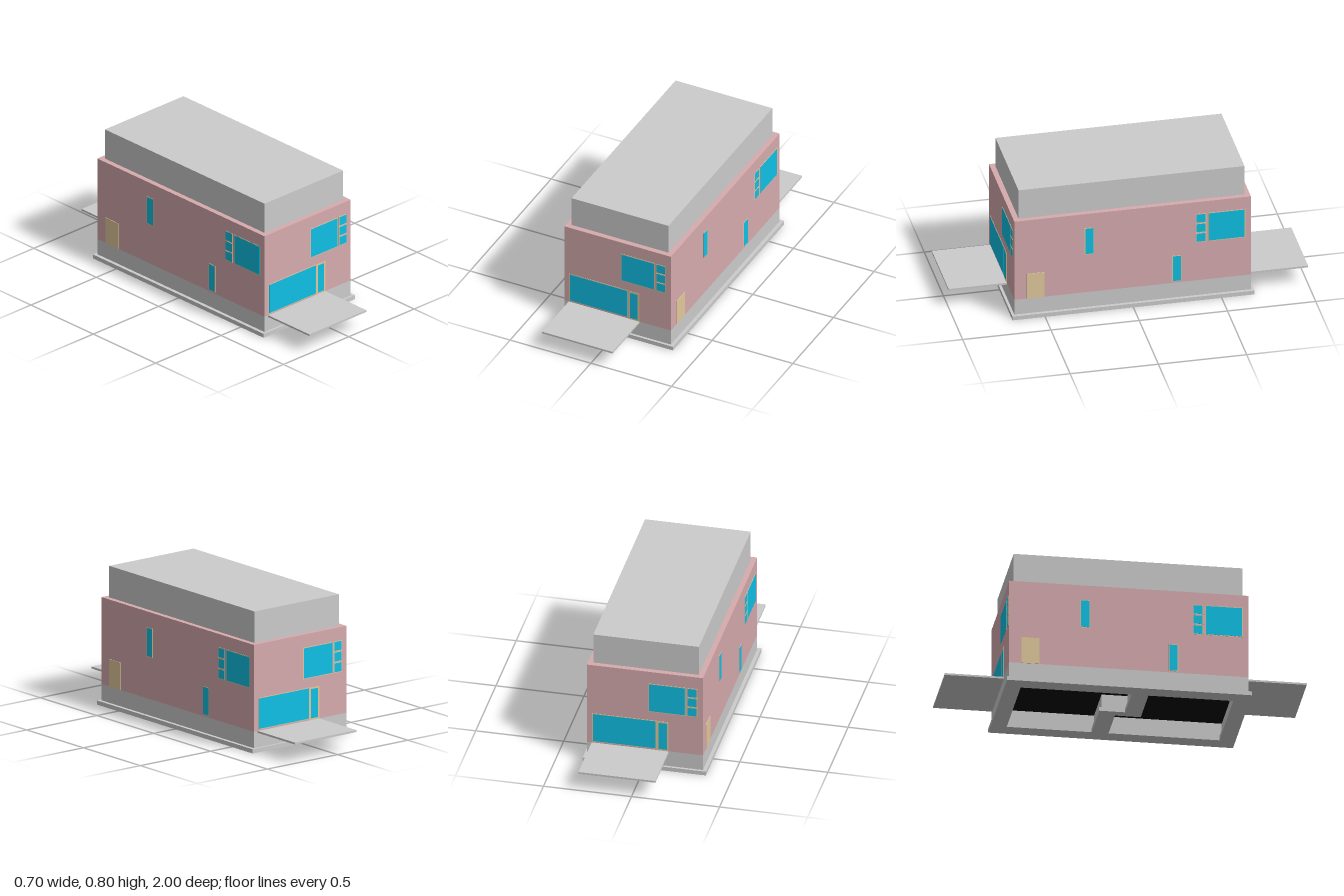
import * as THREE from 'three';

const mat = (color) => new THREE.MeshStandardMaterial({ color });
const concrete = mat(0xcccccc);
const render = mat(0xd6abae);
const glass = mat(0x0fc0e5);
const trim = mat(0xe2c99c);
const dark = mat(0x050505);

// Box given by its limits on each axis
function box(name, material, x0, x1, y0, y1, z0, z1) {
  const mesh = new THREE.Mesh(new THREE.BoxGeometry(x1 - x0, y1 - y0, z1 - z0), material);
  mesh.position.set((x0 + x1) / 2, (y0 + y1) / 2, (z0 + z1) / 2);
  mesh.name = name;
  return mesh;
}

function rect(path, hx, hz) {
  path.moveTo(-hx, -hz).lineTo(hx, -hz).lineTo(hx, hz).lineTo(-hx, hz).closePath();
  return path;
}

// Rectangular ring wall with outer half sizes and a wall thickness
function ring(name, material, hx, hz, thick, y0, y1) {
  const shape = rect(new THREE.Shape(), hx, hz);
  shape.holes.push(rect(new THREE.Path(), hx - thick, hz - thick));
  const geo = new THREE.ExtrudeGeometry(shape, { depth: y1 - y0, bevelEnabled: false });
  geo.rotateX(-Math.PI / 2);
  const mesh = new THREE.Mesh(geo, material);
  mesh.position.y = y0;
  mesh.name = name;
  return mesh;
}

// Framed pane lying on the plane z = d
function pane(name, d, x0, x1, y0, y1, border = 0.004) {
  const g = new THREE.Group();
  g.name = name;
  g.add(box('frame', trim, x0, x1, y0, y1, d - 0.01, d + 0.0015));
  g.add(box('glass', glass, x0 + border, x1 - border, y0 + border, y1 - border, d - 0.01, d + 0.0025));
  return g;
}

// Front and right side openings plus porch; used again turned half round
function facadePair() {
  const half = new THREE.Group();

  const front = new THREE.Group();
  front.name = 'endFacade';
  const f = 0.67;
  front.add(pane('shopWindow', f, -0.299, 0.065, 0.125, 0.306));
  front.add(pane('entranceDoor', f, 0.067, 0.135, 0.118, 0.305, 0.01));
  front.add(pane('upperWindow', f, 0.021, 0.231, 0.36, 0.54));
  for (const y of [0.36, 0.421, 0.482]) front.add(pane('smallWindow', f, 0.238, 0.298, y, y + 0.058));
  front.add(box('porchSlab', concrete, -0.302, 0.135, 0.107, 0.118, 0.66, 1));

  const side = new THREE.Group();
  side.name = 'sideFacade';
  side.rotation.y = Math.PI / 2;
  const s = 0.33;
  side.add(box('sideDoor', trim, -0.6, -0.5, 0.118, 0.275, s - 0.01, s + 0.003));
  side.add(pane('slimWindow', s, -0.272, -0.218, 0.358, 0.526));
  side.add(pane('slimWindow', s, 0.223, 0.277, 0.126, 0.29));
  side.add(pane('sideWindow', s, 0.428, 0.638, 0.36, 0.54));
  for (const y of [0.36, 0.421, 0.482]) side.add(pane('smallWindow', s, 0.358, 0.417, y, y + 0.058));

  half.add(front, side);
  return half;
}

export function createModel() {
  const model = new THREE.Group();
  model.name = 'house';

  // Base, walls and roof block
  model.add(ring('footing', concrete, 0.35, 0.685, 0.09, 0, 0.024));
  model.add(ring('foundation', concrete, 0.33, 0.67, 0.06, 0.024, 0.118));
  model.add(box('floor', dark, -0.28, 0.28, 0.107, 0.117, -0.62, 0.62));
  model.add(ring('walls', render, 0.33, 0.67, 0.03, 0.118, 0.615));
  model.add(box('roofBlock', concrete, -0.3, 0.3, 0.6, 0.795, -0.64, 0.64));

  // Stepped partition under the floor
  model.add(box('partitionFootingLink', concrete, -0.025, 0.025, 0, 0.024, -0.03, 0.03));
  model.add(box('partitionLink', concrete, -0.01, 0.01, 0.024, 0.107, -0.05, 0.05));

  // Both halves match under a half turn
  for (const turn of [0, Math.PI]) {
    const half = facadePair();
    half.name = turn ? 'backHalf' : 'frontHalf';
    half.add(box('partitionFooting', concrete, -0.265, 0.025, 0, 0.024, 0.025, 0.12));
    half.add(box('partition', concrete, -0.28, 0.01, 0.024, 0.107, 0.04, 0.105));
    half.rotation.y = turn;
    model.add(half);
  }
  return model;
}
